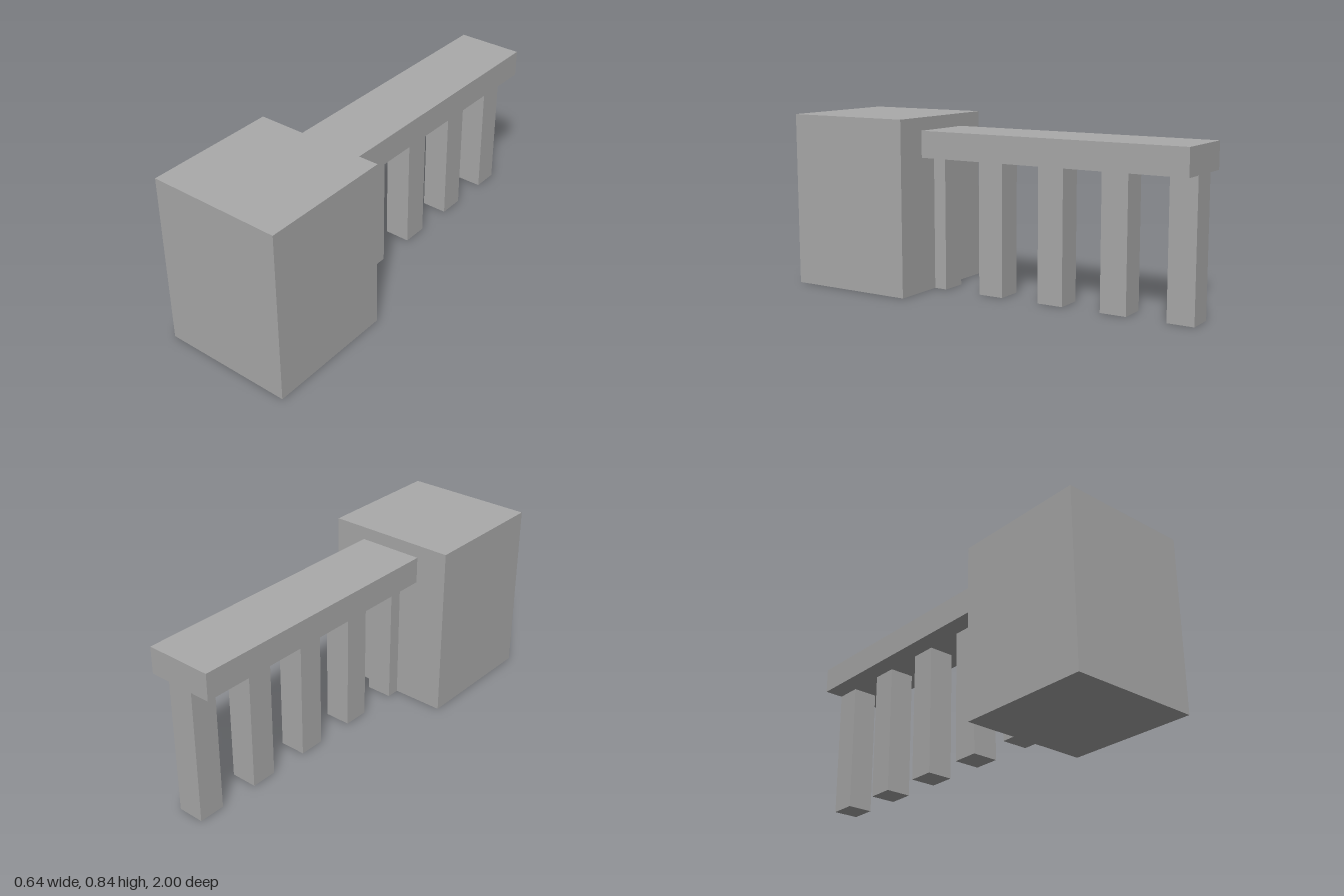
import * as THREE from 'three';

export function createModel() {
  const model = new THREE.Group();
  model.name = 'pier';
  const stone = new THREE.MeshStandardMaterial({ color: 0xaaaaaa });
  stone.name = 'grey';

  // Box given by its lower and upper limits on each axis
  const addBox = (name, [x0, x1], [y0, y1], [z0, z1]) => {
    const mesh = new THREE.Mesh(new THREE.BoxGeometry(x1 - x0, y1 - y0, z1 - z0), stone);
    mesh.position.set((x0 + x1) / 2, (y0 + y1) / 2, (z0 + z1) / 2);
    mesh.name = name;
    model.add(mesh);
  };

  const blockBack = 0.357;
  addBox('endBlock', [-0.322, 0.322], [0, 0.841], [blockBack, 1]);
  addBox('deck', [-0.163, 0.161], [0.65, 0.778], [-1, blockBack]);

  // Evenly spaced posts; the first is half sunk into the block
  const width = 0.129, spacing = 0.323;
  for (let i = 0; i < 5; i++) {
    const back = -1 + i * spacing;
    addBox('post' + (i + 1), [-0.066, 0.063], [0, 0.65], [back, Math.min(back + width, blockBack)]);
  }
  return model;
}
